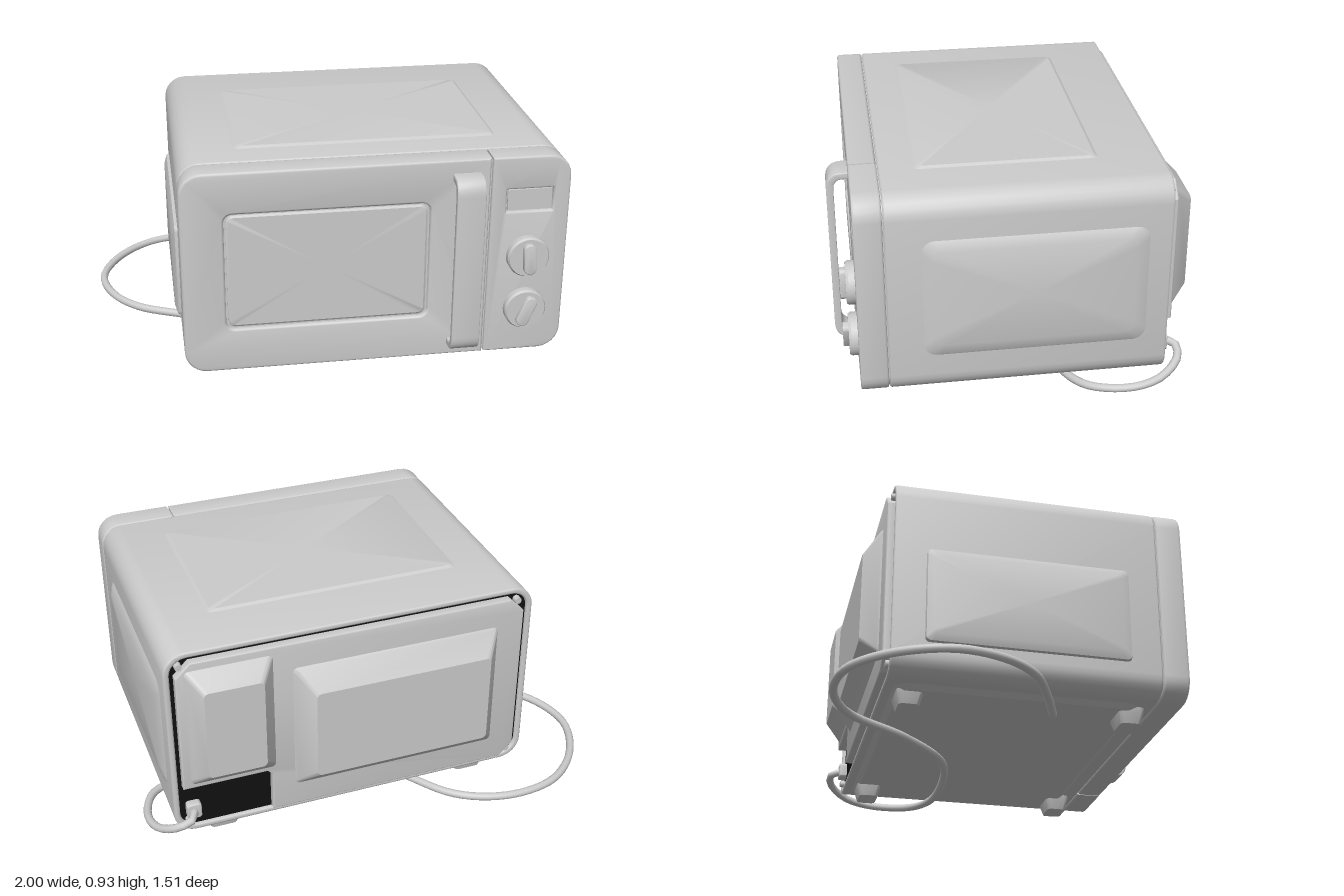
import * as THREE from 'three';
import { toCreasedNormals } from 'three/addons/utils/BufferGeometryUtils.js';

const grey = new THREE.MeshStandardMaterial({ color: 0xcccccc });
const dark = new THREE.MeshStandardMaterial({ color: 0x111111 });

// Counter-clockwise rectangle with rounded corners; rl and rr are the left and right radii
function rectPoints(x0, y0, x1, y1, rl, rr = rl, n = 6) {
  const pts = [];
  const corners = [[x1, y1, rr, -1, -1], [x0, y1, rl, 1, -1], [x0, y0, rl, 1, 1], [x1, y0, rr, -1, 1]];
  corners.forEach(([x, y, r, sx, sy], c) => {
    for (let i = 0; i <= (r ? n : 0); i++) {
      const a = (c + i / n) * Math.PI / 2;
      pts.push(new THREE.Vector2(x + sx * r + r * Math.cos(a), y + sy * r + r * Math.sin(a)));
    }
  });
  return pts;
}

// Plate between z0 and z1 with small bevelled edges
function plate(outline, z0, z1, bevel = 0, holes = []) {
  const shape = new THREE.Shape(outline);
  holes.forEach(h => shape.holes.push(new THREE.Path(h)));
  const geo = new THREE.ExtrudeGeometry(shape, {
    depth: z1 - z0 - 2 * bevel, bevelEnabled: bevel > 0, bevelThickness: bevel,
    bevelSize: bevel, bevelOffset: -bevel, bevelSegments: 3, curveSegments: 10,
  });
  geo.translate(0, 0, z0 + bevel);
  return toCreasedNormals(geo, 0.6);
}

// Skin over rounded rectangles [x0, y0, x1, y1, radius, z], closed at the far end
function loft(sections) {
  const rings = sections.map(([x0, y0, x1, y1, r, z]) =>
    rectPoints(x0, y0, x1, y1, r).map(p => [p.x, p.y, z]));
  const [x0, y0, x1, y1, , zEnd] = sections[sections.length - 1];
  const n = rings[0].length, pos = [];
  for (let i = 0; i < n; i++) {
    const j = (i + 1) % n;
    for (let k = 0; k + 1 < rings.length; k++) {
      const a = rings[k], b = rings[k + 1];
      pos.push(...a[i], ...a[j], ...b[j], ...a[i], ...b[j], ...b[i]);
    }
    const top = rings[rings.length - 1];
    pos.push(...top[i], ...top[j], (x0 + x1) / 2, (y0 + y1) / 2, zEnd);
  }
  const geo = new THREE.BufferGeometry();
  geo.setAttribute('position', new THREE.Float32BufferAttribute(pos, 3));
  return toCreasedNormals(geo, 0.5);
}

export function createModel() {
  const model = new THREE.Group();
  model.name = 'microwaveOven';
  const add = (name, geo, mat = grey, parent = model) => {
    const mesh = new THREE.Mesh(geo, mat);
    mesh.name = name;
    parent.add(mesh);
    return mesh;
  };
  const L = -0.65, R = 0.9, B = 0.065, T = 0.925;

  // Housing: open sleeve, inner core and dark rear opening
  add('housing', plate(rectPoints(L, B, R, T, 0.09), -0.54, 0.557, 0.008,
    [rectPoints(L + 0.025, B + 0.025, R - 0.025, T - 0.025, 0.07)]));
  add('innerCore', plate(rectPoints(L + 0.012, B + 0.012, R - 0.012, T - 0.012, 0.08), 0.5, 0.652));
  add('rearOpening', plate(rectPoints(L + 0.02, B + 0.02, R - 0.02, T - 0.02, 0.07), -0.525, -0.515), dark);

  // Door with window, and control panel with display
  add('door', plate(rectPoints(L, B, 0.573, T, 0.09, 0), 0.561, 0.67, 0.01,
    [rectPoints(-0.48, 0.25, 0.335, 0.75, 0.035)]));
  add('windowPane', loft([[-0.472, 0.258, 0.327, 0.742, 0.03, 0.64],
    [-0.472, 0.258, 0.327, 0.742, 0.03, 0.657], [-0.464, 0.266, 0.319, 0.734, 0.025, 0.662]]));
  add('controlPanel', plate(rectPoints(0.58, B, R, T, 0, 0.09), 0.561, 0.67, 0.008,
    [rectPoints(0.642, 0.69, 0.832, 0.788, 0.004)]));
  add('display', loft([[0.648, 0.696, 0.826, 0.782, 0.003, 0.64], [0.648, 0.696, 0.826, 0.782, 0.003, 0.661]]));

  // Handle: C-shaped strap swept across its width
  const strap = new THREE.Shape();
  strap.moveTo(0.66, 0.115).lineTo(0.69, 0.115).quadraticCurveTo(0.757, 0.115, 0.757, 0.185);
  strap.lineTo(0.757, 0.8).quadraticCurveTo(0.757, 0.87, 0.69, 0.87).lineTo(0.66, 0.87);
  strap.lineTo(0.66, 0.842).lineTo(0.69, 0.842).quadraticCurveTo(0.728, 0.842, 0.728, 0.8);
  strap.lineTo(0.728, 0.185).quadraticCurveTo(0.728, 0.143, 0.69, 0.143).lineTo(0.66, 0.143);
  const handle = plate(strap.getPoints(8), 0, 0.115, 0.004);
  handle.rotateY(-Math.PI / 2).translate(0.535, 0, 0);
  add('handle', handle);

  // Knobs with raised pill grips
  for (const [y, turn] of [[0.5, 0.06], [0.265, -0.4]]) {
    const knob = new THREE.Group();
    knob.name = 'knob';
    knob.position.set(0.738, y, 0.66);
    knob.rotation.z = turn;
    model.add(knob);
    const profile = [[0.086, 0], [0.086, 0.035], [0.08, 0.045], [0, 0.045]].map(p => new THREE.Vector2(...p));
    const dial = new THREE.LatheGeometry(profile, 40);
    dial.rotateX(Math.PI / 2);
    add('knobDial', toCreasedNormals(dial, 0.5), grey, knob);
    add('knobGrip', plate(rectPoints(-0.025, -0.066, 0.025, 0.066, 0.024), 0.03, 0.068, 0.004), grey, knob);
  }

  // Embossed panels on the sides, top and underside
  const leftPanel = loft([[-0.43, 0.235, 0.46, 0.755, 0.05, 0.895], [-0.41, 0.25, 0.44, 0.74, 0.05, 0.905],
    [-0.38, 0.295, 0.4, 0.705, 0.04, 0.918]]);
  add('leftSidePanel', leftPanel.rotateY(Math.PI / 2));
  const rightPanel = loft([[-0.41, 0.195, 0.43, 0.605, 0.02, 0.645], [-0.405, 0.2, 0.425, 0.6, 0.02, 0.662],
    [-0.375, 0.23, 0.395, 0.57, 0.015, 0.674]]);
  add('rightSidePanel', rightPanel.rotateY(-Math.PI / 2));
  const topPanel = loft([[-0.425, -0.43, 0.66, 0.3, 0.02, 0.92], [-0.4, -0.41, 0.64, 0.28, 0.02, 0.933]]);
  add('topPanel', topPanel.rotateX(-Math.PI / 2));
  const basePanel = loft([[-0.55, -0.51, 0.8, 0.5, 0.06, -0.07], [-0.52, -0.48, 0.77, 0.47, 0.05, -0.047]]);
  add('basePanel', basePanel.rotateX(Math.PI / 2));

  // Tapered feet
  for (const x of [-0.435, 0.68]) for (const z of [0.468, -0.437]) {
    const foot = loft([[-0.078, -0.055, 0.078, 0.055, 0.02, -0.066], [-0.072, -0.052, 0.072, 0.052, 0.02, -0.04],
      [-0.058, -0.042, 0.058, 0.042, 0.02, 0]]);
    add('foot', foot.rotateX(Math.PI / 2).translate(x, 0, z));
  }

  // Rear panel with clipped corners and a notch for the cord (x mirrored, turned to face back)
  const rear = new THREE.Group();
  rear.name = 'rearAssembly';
  rear.rotation.y = Math.PI;
  model.add(rear);
  const outline = [[-0.49, 0.1], [0.54, 0.1], [0.6, 0.16], [0.6, 0.83], [0.54, 0.89], [-0.8, 0.89],
    [-0.86, 0.83], [-0.86, 0.3], [-0.51, 0.3], [-0.49, 0.28]].map(p => new THREE.Vector2(...p));
  add('rearPanel', plate(outline, 0.525, 0.565, 0.006), grey, rear);
  add('largeRearBulge', loft([[-0.4, 0.2, 0.49, 0.78, 0.02, 0.56], [-0.38, 0.22, 0.48, 0.765, 0.02, 0.575],
    [-0.32, 0.28, 0.43, 0.68, 0.02, 0.638]]), grey, rear);
  add('smallRearBulge', loft([[-0.83, 0.315, -0.47, 0.86, 0.02, 0.56], [-0.815, 0.335, -0.485, 0.845, 0.02, 0.58],
    [-0.77, 0.39, -0.53, 0.79, 0.02, 0.638]]), grey, rear);
  for (const [x, y] of [[-0.84, 0.87], [0.58, 0.87], [0.58, 0.12], [-0.84, 0.12]]) {
    const screw = new THREE.CylinderGeometry(0.014, 0.016, 0.03, 12);
    add('rearScrew', screw.rotateX(Math.PI / 2).translate(x, y, 0.535), grey, rear);
  }
  add('cordGrommet', plate(rectPoints(-0.85, 0.14, -0.79, 0.21, 0.012), 0.515, 0.56, 0.005), grey, rear);

  // Power cord: out of the back, under the base and round in a loop
  const path = [[0.82, 0.175, -0.53], [0.835, 0.165, -0.59], [0.9, 0.14, -0.59], [0.965, 0.095, -0.51],
    [0.982, 0.07, -0.39], [0.92, 0.05, -0.23], [0.77, 0.028, -0.15], [0.58, 0.02, -0.125], [0.17, 0.02, -0.18],
    [-0.09, 0.02, -0.39], [-0.28, 0.02, -0.635], [-0.42, 0.02, -0.715], [-0.58, 0.02, -0.74], [-0.75, 0.02, -0.7],
    [-0.9, 0.02, -0.56], [-0.982, 0.02, -0.35], [-0.94, 0.02, -0.16], [-0.83, 0.02, -0.02],
    [-0.66, 0.02, 0.07], [-0.46, 0.02, 0.15]].map(p => new THREE.Vector3(...p));
  const cord = add('powerCord', new THREE.TubeGeometry(new THREE.CatmullRomCurve3(path), 100, 0.017, 10));
  cord.material = new THREE.MeshStandardMaterial({ color: 0xcccccc, side: THREE.DoubleSide });
  return model;
}
